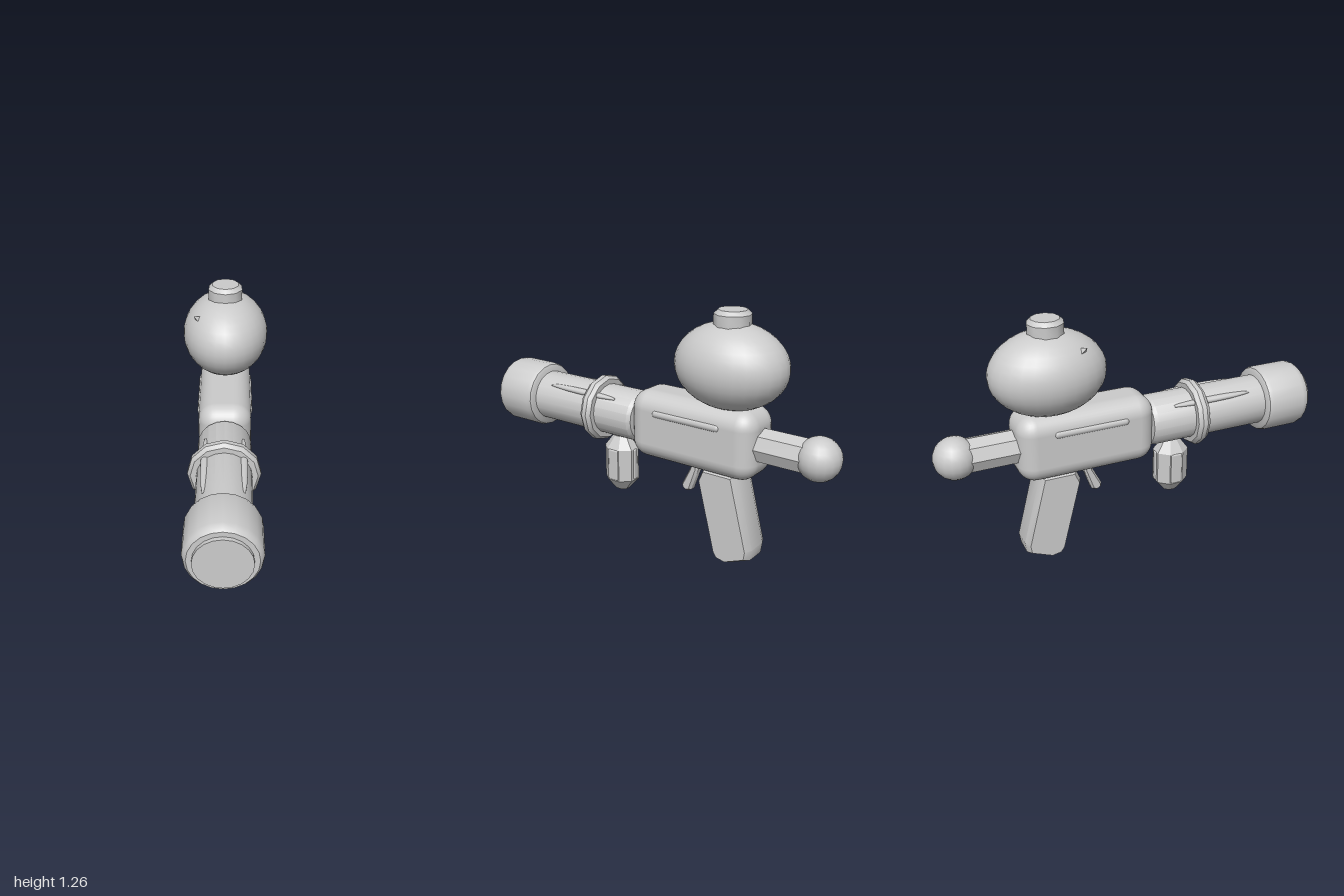
import * as THREE from 'three';
import { toCreasedNormals } from 'three/addons/utils/BufferGeometryUtils.js';
import { RoundedBoxGeometry } from 'three/addons/geometries/RoundedBoxGeometry.js';

const AXIS_Y = 0.645; // height of the barrel line
const V2 = ([a, b]) => new THREE.Vector2(a, b);

export function createModel() {
  const group = new THREE.Group();
  const smooth = new THREE.MeshStandardMaterial({ color: 0xcccccc });
  const flat = new THREE.MeshStandardMaterial({ color: 0xcccccc, flatShading: true });

  const add = (name, geometry, x, y, z, material = smooth) => {
    const mesh = new THREE.Mesh(geometry, material);
    mesh.name = name;
    mesh.position.set(x, y, z);
    group.add(mesh);
    return mesh;
  };

  // Turned part along z: profile of [radius, z]
  const turned = (name, profile, sides, crease = 0.6) => {
    const geo = new THREE.LatheGeometry(profile.map(V2), sides);
    geo.rotateX(Math.PI / 2);
    return add(name, toCreasedNormals(geo, crease), 0, AXIS_Y, 0);
  };

  // Bevelled plate cut from a side outline of [z, y]
  const plate = (name, outline, width, bevel, inset) => {
    const geo = new THREE.ExtrudeGeometry(new THREE.Shape(outline.map(V2)), {
      depth: width - 2 * bevel, bevelEnabled: true, bevelSegments: 1,
      bevelThickness: bevel, bevelSize: inset, bevelOffset: -inset,
    });
    geo.translate(0, 0, -(width - 2 * bevel) / 2);
    geo.rotateY(-Math.PI / 2);
    return add(name, toCreasedNormals(geo, 0.5), 0, 0, 0);
  };

  // Receiver body
  add('body', new RoundedBoxGeometry(0.265, 0.35, 0.71, 4, 0.09), 0, AXIS_Y, -0.255);

  // Barrel, collar and muzzle
  turned('barrel', [[0, 0.08], [0.12, 0.09], [0.132, 0.11], [0.132, 0.75]], 20);
  turned('collar', [[0.125, 0.32], [0.16, 0.32], [0.175, 0.34], [0.175, 0.365], [0.16, 0.385], [0.125, 0.385]], 12, 0.55);
  turned('muzzle', [[0, 0.73], [0.155, 0.73], [0.168, 0.738], [0.175, 0.76], [0.175, 0.94],
    [0.168, 0.965], [0.155, 0.98], [0, 0.98]], 20);
  turned('muzzlePlug', [[0.131, 0.97], [0.131, 1.0], [0, 1.0]], 20);

  // Rear plunger
  turned('plungerRod', [[0.087, -0.85], [0.087, -0.58]], 8, 0.5);
  add('plungerKnob', new THREE.SphereGeometry(0.106, 18, 12), 0, AXIS_Y, -0.894);

  // Tank and screw cap
  add('tank', new THREE.SphereGeometry(1, 28, 18), 0, 1.003, -0.42).scale.set(0.22, 0.21, 0.29);
  const cap = new THREE.LatheGeometry([[0.09, 1.17], [0.09, 1.25], [0.07, 1.27], [0, 1.27]].map(V2), 10);
  add('tankCap', toCreasedNormals(cap, 0.65), 0, 0, -0.42);
  const valve = add('tankValve', new THREE.ConeGeometry(0.034, 0.06, 3), -0.14, 1.135, -0.29, flat);
  valve.quaternion.setFromUnitVectors(new THREE.Vector3(0, 1, 0), new THREE.Vector3(-0.6, 0.65, 0.45).normalize());

  // Slanted grip and trigger
  plate('grip', [[-0.29, 0.42], [-0.32, 0.49], [-0.50, 0.49], [-0.598, 0.11], [-0.59, 0.055],
    [-0.47, 0.005], [-0.41, 0.015], [-0.385, 0.05]], 0.184, 0.04, 0.018);
  plate('trigger', [[-0.21, 0.44], [-0.22, 0.49], [-0.25, 0.49], [-0.257, 0.44], [-0.215, 0.32],
    [-0.19, 0.31], [-0.165, 0.325], [-0.162, 0.345]], 0.06, 0.015, 0.01);

  // Pump handle hanging below the barrel, with finger ridges on four faces
  const pump = new THREE.LatheGeometry([[0, 0.21], [0.04, 0.213], [0.094, 0.275], [0.094, 0.45],
    [0.045, 0.515], [0, 0.515]].map(V2), 8);
  pump.rotateY(Math.PI / 8);
  pump.scale(0.87, 1, 1);
  add('pumpHandle', toCreasedNormals(pump, 0.5), 0, 0, 0.24);
  for (const s of [-1, 1]) {
    add('pumpRidgeEnd', new RoundedBoxGeometry(0.03, 0.17, 0.02, 1, 0.008), 0, 0.365, 0.24 + s * 0.084);
    add('pumpRidgeSide', new RoundedBoxGeometry(0.02, 0.17, 0.06, 1, 0.008), s * 0.073, 0.365, 0.24);
  }

  // Rails on the body and slim blisters on the barrel
  for (const s of [-1, 1]) {
    const rail = new THREE.CapsuleGeometry(0.023, 0.348, 4, 10);
    rail.rotateX(Math.PI / 2);
    add('bodyRail', rail, s * 0.117, 0.726, -0.247);
    const blister = add('barrelBlister', new THREE.SphereGeometry(1, 10, 12), s * 0.09, 0.738, 0.425);
    blister.scale.set(0.02, 0.016, 0.23);
  }

  return group;
}
